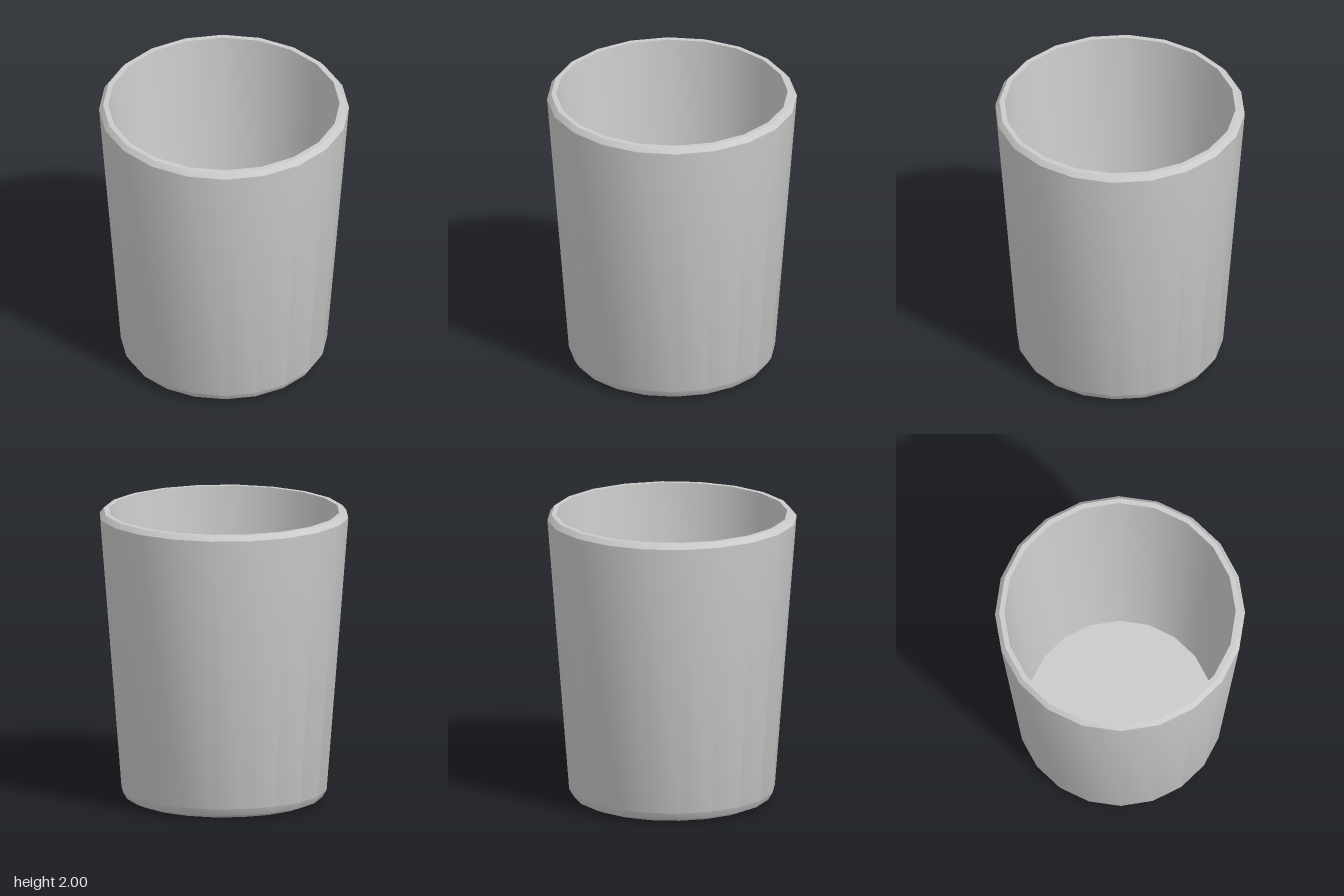
import * as THREE from 'three';
import { toCreasedNormals } from 'three/addons/utils/BufferGeometryUtils.js';

export function createModel() {
  const group = new THREE.Group();
  group.name = 'cup';

  // Closed profile: underside, rounded foot, outer wall, bevelled rim, inner wall, floor
  const profile = [
    [0, 0], [0.61, 0], [0.67, 0.025], [0.7, 0.075],
    [0.848, 1.965], [0.82, 2], [0.785, 2],
    [0.635, 0.08], [0, 0.08],
  ].map(([r, y]) => new THREE.Vector2(r, y));

  // Smooth around the wall, sharp at the rim, foot and floor
  const geometry = toCreasedNormals(new THREE.LatheGeometry(profile, 20), Math.PI / 6);
  const body = new THREE.Mesh(geometry, new THREE.MeshStandardMaterial({ color: 0xcccccc }));
  body.name = 'cupBody';
  group.add(body);

  return group;
}
